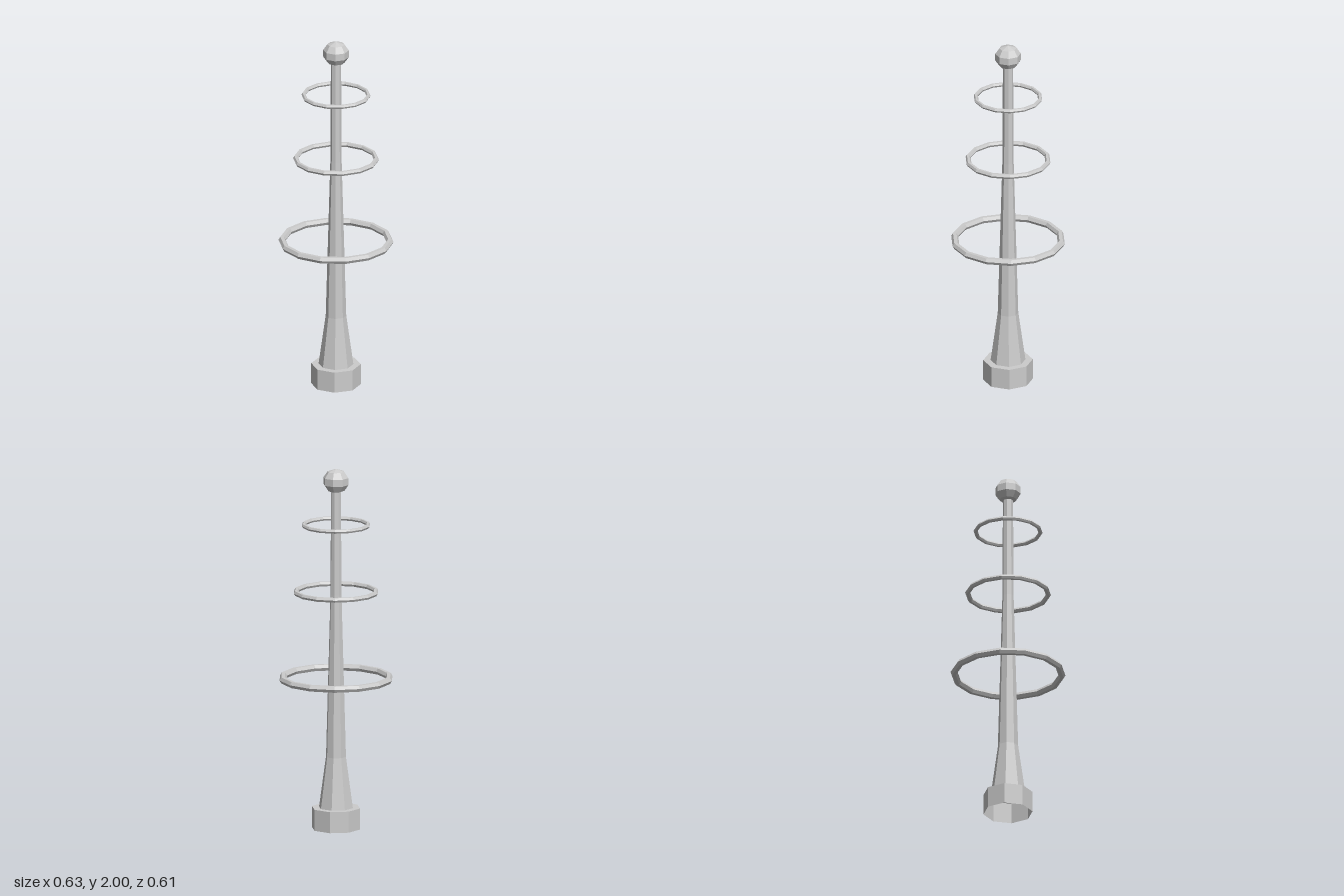
import * as THREE from 'three';

const SIDES = 8;
const material = new THREE.MeshStandardMaterial({ color: 0xcccccc, flatShading: true });
const shellMaterial = new THREE.MeshStandardMaterial({
  color: 0xcccccc, flatShading: true, side: THREE.DoubleSide,
});

// Eight-sided turned part from [radius, height] points, bottom to top
function turned(name, profile, mat) {
  const points = profile.map(([r, y]) => new THREE.Vector2(r, y));
  const mesh = new THREE.Mesh(new THREE.LatheGeometry(points, SIDES), mat);
  mesh.name = name;
  return mesh;
}

export function createModel() {
  const model = new THREE.Group();
  model.name = 'ringedMast';

  // Hollow base, open underneath, with a flat collar around the mast
  model.add(turned('base', [[0.135, 0], [0.135, 0.117], [0.095, 0.117]], shellMaterial));

  // Tapering mast, flared at the foot
  model.add(turned('mast', [[0.095, 0.117], [0.056, 0.4], [0.031, 1.3], [0.028, 1.89]], shellMaterial));

  // Faceted ball on top
  model.add(turned('topBall', [
    [0, 1.863], [0.047, 1.879], [0.07, 1.912],
    [0.07, 1.951], [0.047, 1.984], [0, 2],
  ], material));

  // Floating rings, shrinking towards the top
  const rings = [
    ['lowerRing', 0.835, 0.294, 0.0195],
    ['middleRing', 1.315, 0.22, 0.014],
    ['upperRing', 1.687, 0.177, 0.0115],
  ];
  for (const [name, y, radius, tube] of rings) {
    const ring = new THREE.Mesh(new THREE.TorusGeometry(radius, tube, 6, 14), material);
    ring.name = name;
    ring.rotation.x = Math.PI / 2;
    ring.position.y = y;
    model.add(ring);
  }
  return model;
}
